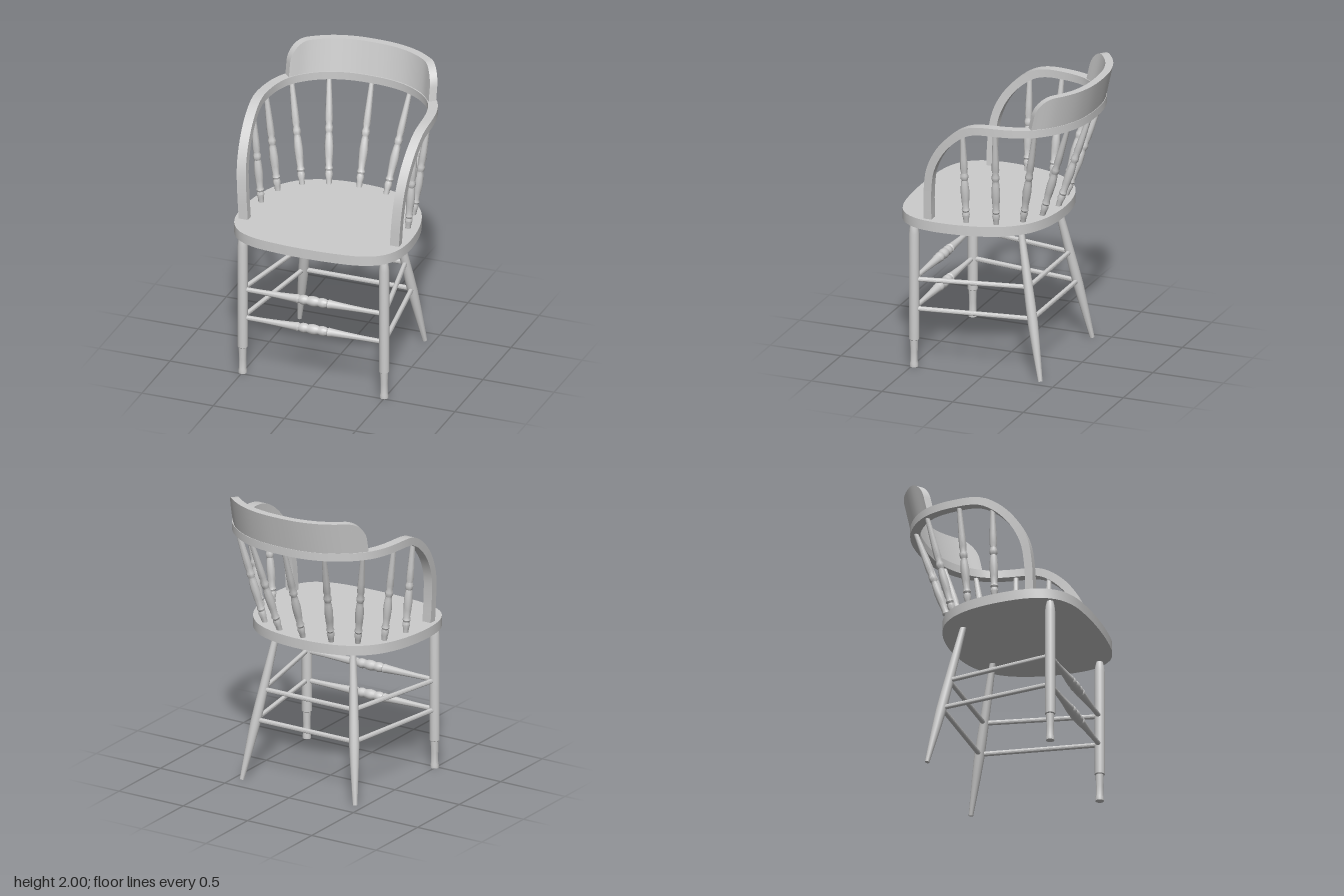
import * as THREE from 'three';
import { toCreasedNormals } from 'three/addons/utils/BufferGeometryUtils.js';

const V = (x, y, z) => new THREE.Vector3(x, y, z);
const UP = V(0, 1, 0);

export function createModel() {
  const chair = new THREE.Group();
  const wood = new THREE.MeshStandardMaterial({ color: 0xcccccc });

  const add = (name, geometry) => {
    const mesh = new THREE.Mesh(toCreasedNormals(geometry, 0.6), wood);
    mesh.name = name;
    chair.add(mesh);
    return mesh;
  };

  // Turned part between two points; profile holds [fraction of length, radius]
  const turned = (name, a, b, profile, sides = 16) => {
    const dir = b.clone().sub(a), len = dir.length();
    const pts = profile.map(([t, r]) => new THREE.Vector2(r, t * len));
    pts.unshift(new THREE.Vector2(0, pts[0].y));
    pts.push(new THREE.Vector2(0, pts[pts.length - 1].y));
    const mesh = add(name, new THREE.LatheGeometry(pts, sides));
    mesh.position.copy(a);
    mesh.quaternion.setFromUnitVectors(UP, dir.normalize());
  };

  // Skin over a row of four-cornered sections, capped at both ends
  const loft = (sections) => {
    const index = [], last = (sections.length - 1) * 4;
    for (let i = 0; i < last; i += 4) {
      for (let j = 0; j < 4; j++) {
        const k = (j + 1) % 4;
        index.push(i + j, i + k, i + 4 + k, i + j, i + 4 + k, i + 4 + j);
      }
    }
    index.push(0, 3, 2, 0, 2, 1, last, last + 1, last + 2, last, last + 2, last + 3);
    const geo = new THREE.BufferGeometry().setFromPoints(sections.flat());
    geo.setIndex(index);
    return geo;
  };

  // Left half of a symmetric path, completed by its mirror image
  const mirrored = (half) => [
    ...half.map((p) => V(...p)),
    ...half.slice(0, -1).reverse().map(([x, y, z]) => V(-x, y, z)),
  ];

  // Seat
  const outline = mirrored([
    [0, 0, 0.645], [0.2, 0, 0.637], [0.38, 0, 0.61], [0.5, 0, 0.55], [0.57, 0, 0.45],
    [0.597, 0, 0.33], [0.597, 0, 0.19], [0.578, 0, 0.05], [0.54, 0, -0.08],
    [0.48, 0, -0.19], [0.39, 0, -0.28], [0.27, 0, -0.34], [0.13, 0, -0.372], [0, 0, -0.38],
  ]).slice(0, -1);
  const rim = new THREE.CatmullRomCurve3(outline, true).getPoints(72).slice(0, -1);
  const seat = new THREE.ExtrudeGeometry(
    new THREE.Shape(rim.map((p) => new THREE.Vector2(p.x, -p.z))),
    { depth: 0.068, bevelEnabled: false });
  add('seat', seat.rotateX(-Math.PI / 2).translate(0, 1, 0));

  // Bent arm rail: up from the seat, round the back and down again
  const Y = 1.755;
  const backHalf = [[0.51, Y, -0.34], [0.42, Y, -0.44], [0.29, Y, -0.52], [0.15, Y, -0.56], [0, Y, -0.57]];
  const railCurve = new THREE.CatmullRomCurve3(mirrored([
    [0.53, 1.06, 0.36], [0.542, 1.25, 0.357], [0.555, 1.42, 0.333], [0.565, 1.56, 0.265],
    [0.573, 1.67, 0.165], [0.578, 1.735, 0.06], [0.58, 1.753, -0.03], [0.575, Y, -0.11],
    [0.555, Y, -0.23], ...backHalf,
  ]));
  const outward = (p, t) => (p.z > -0.02 ? V(Math.sign(p.x), 0, 0) : V(-t.z, 0, t.x).normalize());
  const railSections = [];
  for (let i = 0; i <= 96; i++) {
    const p = railCurve.getPointAt(i / 96), t = railCurve.getTangentAt(i / 96);
    const n = outward(p, t), b = t.clone().cross(n).normalize();
    railSections.push([[1, -1], [1, 1], [-1, 1], [-1, -1]].map(([u, v]) =>
      p.clone().addScaledVector(n, u * 0.032).addScaledVector(b, v * 0.027)));
  }
  add('armRail', loft(railSections));

  // Crest board: leans back, with rounded upper corners
  const crestCurve = new THREE.CatmullRomCurve3(mirrored(backHalf));
  const crestLength = crestCurve.getLength(), corner = 0.13, base = 1.77;
  const crestSections = [];
  for (let i = 0; i <= 64; i++) {
    const u = (1 - Math.cos((i / 64) * Math.PI)) / 2;
    const p = crestCurve.getPointAt(u), n = outward(p, crestCurve.getTangentAt(u));
    const d = Math.min(1, Math.min(u, 1 - u) * crestLength / corner);
    const top = 2 - corner + corner * Math.sqrt(1 - (1 - d) ** 2);
    crestSections.push([[1, top], [1, base], [-1, base], [-1, top]].map(([side, y]) => {
      const q = p.clone().addScaledVector(n, side * 0.026);
      return V(q.x, y, q.z - (y - base) * 0.22);
    }));
  }
  add('crestBoard', loft(crestSections));

  // Turned spindles between seat and rail
  const spindle = [
    [0, 0.018], [0.06, 0.02], [0.1, 0.026], [0.13, 0.021], [0.15, 0.027], [0.18, 0.021],
    [0.26, 0.026], [0.36, 0.029], [0.45, 0.024], [0.48, 0.02], [0.5, 0.026], [0.53, 0.026],
    [0.56, 0.02], [0.6, 0.025], [0.7, 0.023], [0.85, 0.019], [1, 0.015],
  ];
  turned('backSpindle', V(0, 1.06, -0.33), V(0, 1.74, -0.56), spindle);

  const legProfile = [
    [0, 0.028], [0.02, 0.028], [0.04, 0.024], [0.1, 0.024], [0.185, 0.027], [0.19, 0.034],
    [0.92, 0.034], [0.96, 0.029], [1, 0.02],
  ];
  const backLegProfile = [
    [0, 0.015], [0.1, 0.021], [0.25, 0.029], [0.38, 0.034], [0.5, 0.033], [0.75, 0.028], [1, 0.02],
  ];
  const rod = [[0, 0.016], [1, 0.016]];
  const backLeg = (s, y) => V(s * (0.44 - 0.145 * y), y, -0.387 + 0.2 * y);

  for (const s of [1, -1]) {
    const side = s > 0 ? 'left' : 'right';
    for (const [x0, z0, x1, y1, z1] of [
      [0.2, -0.3, 0.285, 1.74, -0.52], [0.36, -0.23, 0.49, 1.74, -0.37],
      [0.475, -0.09, 0.57, 1.74, -0.12], [0.515, 0.105, 0.57, 1.71, 0.11],
    ]) turned(side + 'Spindle', V(s * x0, 1.06, z0), V(s * x1, y1, z1), spindle);

    // Legs and side stretchers
    turned(side + 'FrontLeg', V(s * 0.497, 0, 0.483), V(s * 0.497, 1.01, 0.483), legProfile);
    turned(side + 'BackLeg', backLeg(s, 0), backLeg(s, 1.01), backLegProfile);
    for (const y of [0.405, 0.61])
      turned(side + 'Stretcher', V(s * 0.497, y, 0.483), backLeg(s, y), rod, 12);
  }

  // Turned front stretchers and plain back stretchers
  const half = [
    [0, 0.016], [0.14, 0.017], [0.25, 0.021], [0.36, 0.027], [0.39, 0.031], [0.4, 0.024],
    [0.42, 0.032], [0.44, 0.033], [0.46, 0.027], [0.48, 0.033],
  ];
  const frontProfile = [...half, [0.5, 0.035], ...half.slice().reverse().map(([t, r]) => [1 - t, r])];
  for (const y of [0.405, 0.61]) {
    turned('frontStretcher', V(-0.49, y, 0.483), V(0.49, y, 0.483), frontProfile);
    turned('backStretcher', backLeg(-1, y), backLeg(1, y), rod, 12);
  }

  return chair;
}
